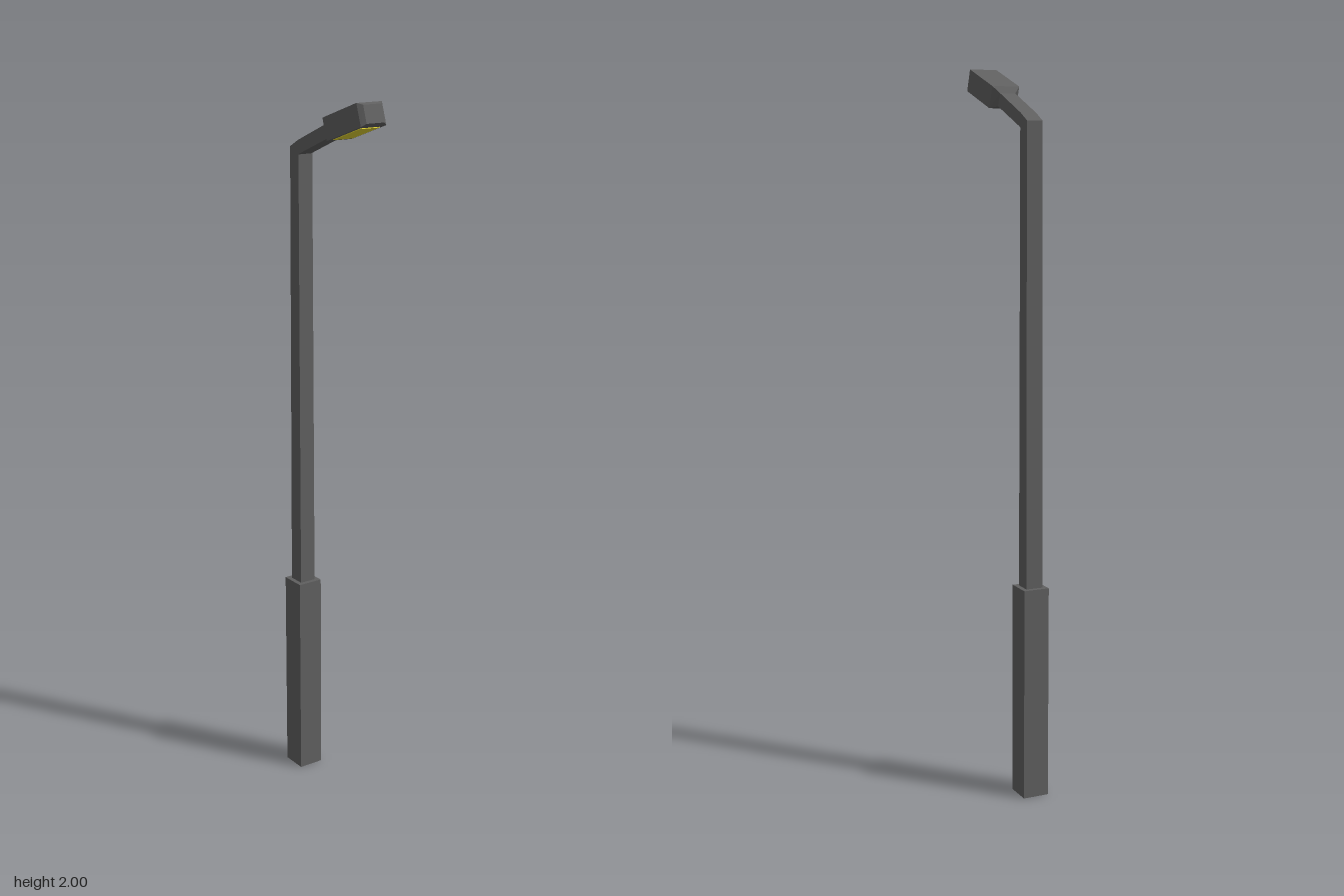
import * as THREE from 'three';

const grey = new THREE.MeshStandardMaterial({ color: 0x606060, side: THREE.DoubleSide });
grey.name = 'dark grey metal';
const yellow = new THREE.MeshStandardMaterial({ color: 0xe4d634 });
yellow.name = 'yellow lamp glass';

// Joins rectangular sections [x1, y1, x2, y2, half depth]; point 1 is the
// left or upper edge, point 2 the right or lower edge. The last one is capped.
function loft(name, sections) {
  const rings = sections.map(([x1, y1, x2, y2, d]) => [
    [x1, y1, d], [x1, y1, -d], [x2, y2, -d], [x2, y2, d],
  ]);
  const pos = [];
  const tri = (...corners) => corners.forEach((c) => pos.push(...c));
  for (let s = 0; s < rings.length - 1; s++) {
    const a = rings[s], b = rings[s + 1];
    for (let i = 0; i < 4; i++) {
      const j = (i + 1) % 4;
      tri(a[i], b[j], a[j]);
      tri(a[i], b[i], b[j]);
    }
  }
  const end = rings[rings.length - 1];
  tri(end[3], end[2], end[1]);
  tri(end[3], end[1], end[0]);
  const geometry = new THREE.BufferGeometry();
  geometry.setAttribute('position', new THREE.Float32BufferAttribute(pos, 3));
  geometry.computeVertexNormals();
  const mesh = new THREE.Mesh(geometry, grey);
  mesh.name = name;
  return mesh;
}

export function createModel() {
  const model = new THREE.Group();
  model.name = 'streetLamp';

  // Square sleeve at the foot, open underneath
  model.add(loft('base', [
    [-0.188, 0, -0.113, 0, 0.037],
    [-0.188, 0.597, -0.113, 0.597, 0.037],
  ]));

  // Slightly tapered pole
  const poleTop = [-0.167, 1.857, -0.127, 1.839, 0.0225];
  model.add(loft('pole', [[-0.174, 0.597, -0.126, 0.597, 0.024], poleTop]));

  // Bent arm reaching to the lamp
  const armEnd = [-0.001, 1.931, 0.013, 1.897, 0.0225];
  model.add(loft('arm', [poleTop, [-0.13, 1.877, -0.122, 1.842, 0.0225], armEnd]));

  // Lamp head with bevelled ends
  model.add(loft('lampHead', [
    armEnd,
    [0.011, 1.95, 0.031, 1.892, 0.04],
    [0.16, 2.0, 0.18, 1.942, 0.04],
    [0.173, 1.996, 0.188, 1.95, 0.028],
  ]));

  // Glowing panel on the underside of the head
  const panel = new THREE.Mesh(new THREE.BoxGeometry(0.126, 0.004, 0.062), yellow);
  panel.name = 'lampPanel';
  panel.position.set(0.105, 1.917, 0);
  panel.rotation.z = Math.atan2(0.05, 0.15);
  model.add(panel);

  return model;
}
